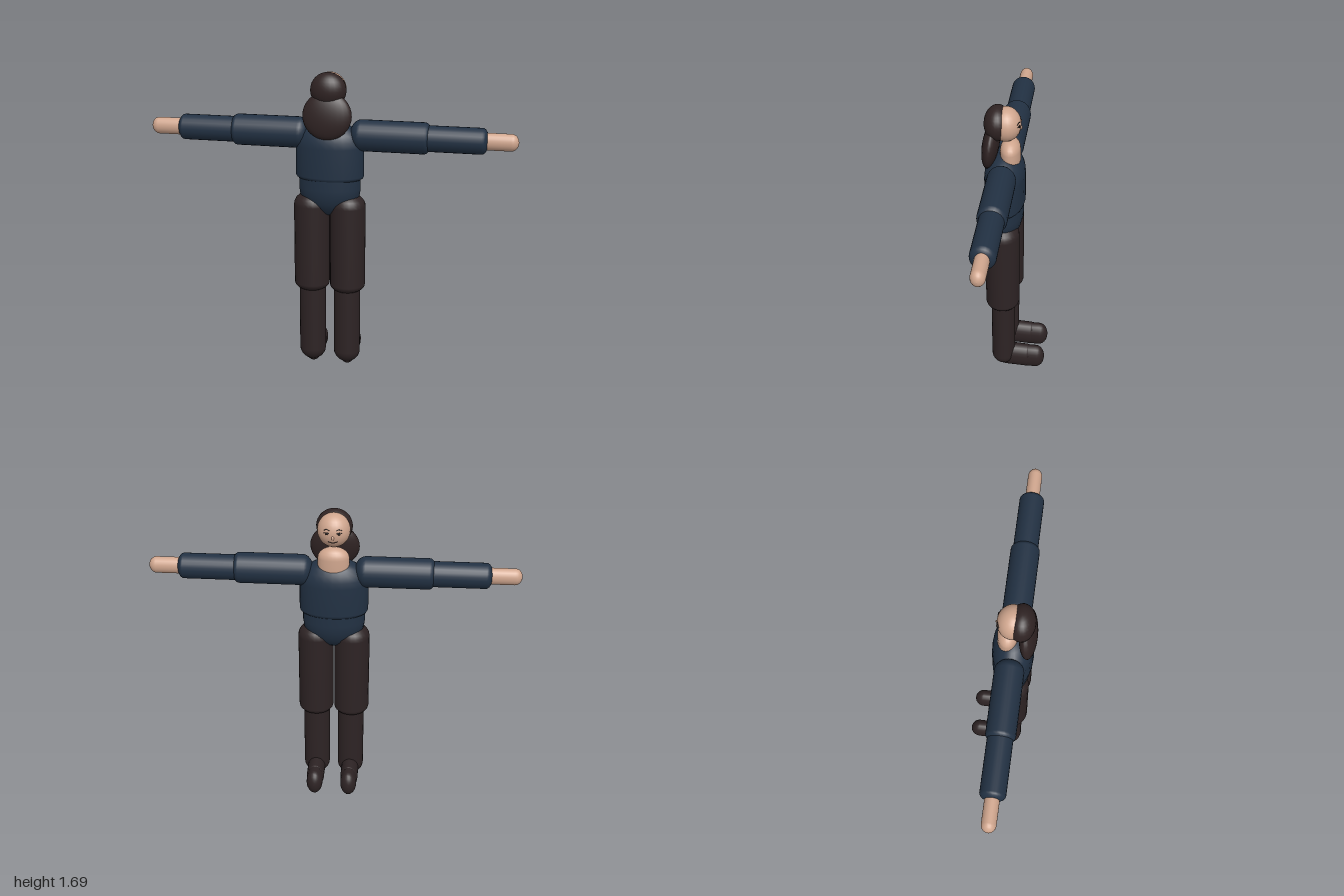
import * as THREE from 'three';

const mat = (name, color, opts = {}) => {
  const m = new THREE.MeshStandardMaterial({ color, ...opts });
  m.name = name;
  return m;
};

// Rounded limb along +y from 0 to len, oval in section, with separate end cap heights
function limbGeometry(rx, rz, len, capA, capB, segs = 24) {
  const pts = [], n = 6;
  for (let i = 0; i <= n; i++) {
    const a = (i / n) * Math.PI / 2;
    pts.push(new THREE.Vector2(Math.sin(a), capA * (1 - Math.cos(a))));
  }
  for (let i = 0; i <= n; i++) {
    const a = (i / n) * Math.PI / 2;
    pts.push(new THREE.Vector2(Math.max(0, Math.cos(a)), len - capB + capB * Math.sin(a)));
  }
  return new THREE.LatheGeometry(pts, segs).scale(rx, 1, rz);
}

export function createModel() {
  const skin = mat('skin', 0xd0a68e);
  const shirt = mat('navy shirt', 0x223143);
  const trousers = mat('dark trousers', 0x2d2324);
  const hair = mat('dark hair', 0x2f2323);
  const ink = mat('face details', 0x1c1414);
  const root = new THREE.Group();
  root.name = 'figure';

  const add = (name, geo, material, x, y, z, parent = root) => {
    const m = new THREE.Mesh(geo, material);
    m.name = name;
    m.position.set(x, y, z);
    parent.add(m);
    return m;
  };
  const ellipsoid = (rx, ry, rz) => new THREE.SphereGeometry(1, 24, 16).scale(rx, ry, rz);

  // Torso
  add('chest', limbGeometry(0.187, 0.109, 0.35, 0.05, 0.14), shirt, 0, 1.08, 0.056);
  add('abdomen', limbGeometry(0.17, 0.102, 0.36, 0.16, 0.05), shirt, 0, 0.9, 0.057);
  add('neck', limbGeometry(0.085, 0.054, 0.17, 0.05, 0.06), skin, 0, 1.335, 0.027);

  // Head and hair
  const head = new THREE.Group();
  head.name = 'head';
  root.add(head);
  const H = { y: 1.595, z: 0.05, rx: 0.088, ry: 0.093, rz: 0.08 };
  add('face', ellipsoid(H.rx, H.ry, H.rz), skin, 0, H.y, H.z, head);
  add('hairCap', ellipsoid(0.097, 0.095, 0.07), hair, 0, 1.599, 0.095, head);
  const tail = add('hairBack', ellipsoid(0.133, 0.128, 0.045), hair, 0, 1.468, 0.13, head);
  tail.rotation.x = -0.13;

  // Face details laid on the front of the head, which looks toward -z
  const onFace = (x, y) => new THREE.Vector3(x, y,
    H.z - H.rz * Math.sqrt(1 - (x / H.rx) ** 2 - ((y - H.y) / H.ry) ** 2));
  const stroke = (name, pts, r) => add(name, new THREE.TubeGeometry(
    new THREE.CatmullRomCurve3(pts.map(([x, y]) => onFace(x, y))), 10, r, 6), ink, 0, 0, 0, head);
  for (const s of [-1, 1]) {
    const p = onFace(s * 0.032, 1.602);
    add('eye', ellipsoid(0.009, 0.005, 0.004), ink, p.x, p.y, p.z, head);
    stroke('eyebrow', [[s * 0.018, 1.62], [s * 0.033, 1.625], [s * 0.048, 1.618]], 0.002);
    stroke('eyelash', [[s * 0.02, 1.605], [s * 0.034, 1.609], [s * 0.048, 1.603]], 0.002);
  }
  stroke('mouth', [[-0.024, 1.557], [0, 1.55], [0.024, 1.557]], 0.002);
  add('nose', ellipsoid(0.007, 0.011, 0.008), skin, 0, 1.58, -0.028, head);

  for (const s of [-1, 1]) {
    const side = s > 0 ? 'left' : 'right';

    // Arms held straight out sideways
    const arm = new THREE.Group();
    arm.name = side + 'Arm';
    arm.position.set(0, 1.355, 0.054);
    arm.rotation.z = -s * Math.PI / 2;
    root.add(arm);
    add('upperArm', limbGeometry(0.085, 0.077, 0.44, 0.06, 0.04), shirt, 0, 0.11, 0, arm);
    add('forearm', limbGeometry(0.07, 0.066, 0.4, 0.04, 0.035), shirt, 0, 0.445, 0, arm);
    add('hand', limbGeometry(0.046, 0.038, 0.25, 0.04, 0.04), skin, 0, 0.75, 0, arm);

    // Legs
    const leg = new THREE.Group();
    leg.name = side + 'Leg';
    leg.position.set(s * 0.098, 0, 0.058);
    root.add(leg);
    add('thigh', limbGeometry(0.098, 0.094, 0.575, 0.05, 0.075), trousers, s * 0.002, 0.458, 0.002, leg);
    add('shin', limbGeometry(0.074, 0.067, 0.6, 0.07, 0.05), trousers, 0, 0.035, 0, leg);

    // Feet point toward -z
    const foot = add('foot', limbGeometry(0.05, 0.075, 0.2, 0.05, 0.03), trousers, 0, 0.093, 0.035, leg);
    foot.rotation.x = -Math.PI / 2 - 0.05;
    const toe = add('toe', limbGeometry(0.046, 0.074, 0.13, 0.03, 0.05), trousers, 0, 0.083, -0.108, leg);
    toe.rotation.x = -Math.PI / 2;
  }
  return root;
}
